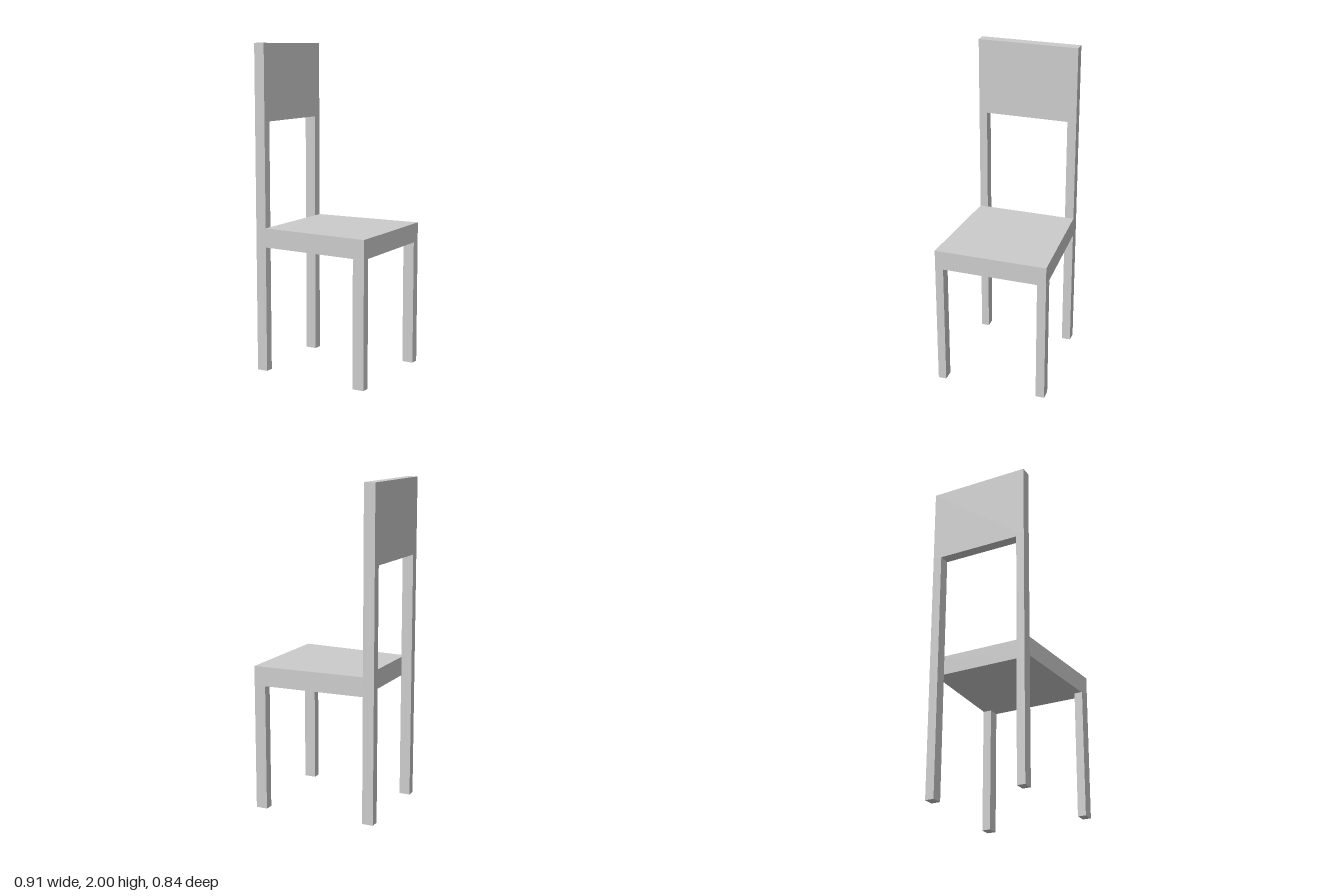
import * as THREE from 'three';

const material = new THREE.MeshStandardMaterial({ color: 0xcccccc, flatShading: true });

// Upright prism over a plan outline of [x, z] corners
function prism(name, plan, bottom, top) {
  const shape = new THREE.Shape(plan.map(([x, z]) => new THREE.Vector2(x, -z)));
  const geometry = new THREE.ExtrudeGeometry(shape, { depth: top - bottom, bevelEnabled: false });
  geometry.rotateX(-Math.PI / 2);
  geometry.translate(0, bottom, 0);
  const mesh = new THREE.Mesh(geometry, material);
  mesh.name = name;
  return mesh;
}

export function createModel() {
  const chair = new THREE.Group();
  chair.name = 'chair';
  const seatBottom = 0.775, seatTop = 0.893, restBottom = 1.535;

  // Corners of the backrest strip and the seat, seen from above
  const outerA = [-0.455, 0.187], outerB = [-0.295, -0.418];
  const innerA = [-0.39, 0.203], innerB = [-0.228, -0.401];
  const seatC = [0.455, -0.253], seatD = [0.275, 0.417];

  chair.add(prism('seat', [innerA, seatD, seatC, innerB], seatBottom, seatTop));
  chair.add(prism('backrest', [outerA, innerA, innerB, outerB], restBottom, 2));

  // Rear posts run from the floor up to the backrest
  chair.add(prism('rearPostA', [outerA, innerA, [-0.376, 0.155], [-0.442, 0.138]], 0, restBottom));
  chair.add(prism('rearPostB', [outerB, innerB, [-0.242, -0.347], [-0.309, -0.365]], 0, restBottom));

  // Short legs under the free edge of the seat
  chair.add(prism('seatLegC', [seatC, [0.441, -0.2], [0.372, -0.218], [0.386, -0.27]], 0, seatBottom));
  chair.add(prism('seatLegD', [seatD, [0.288, 0.368], [0.218, 0.35], [0.205, 0.399]], 0, seatBottom));

  return chair;
}
